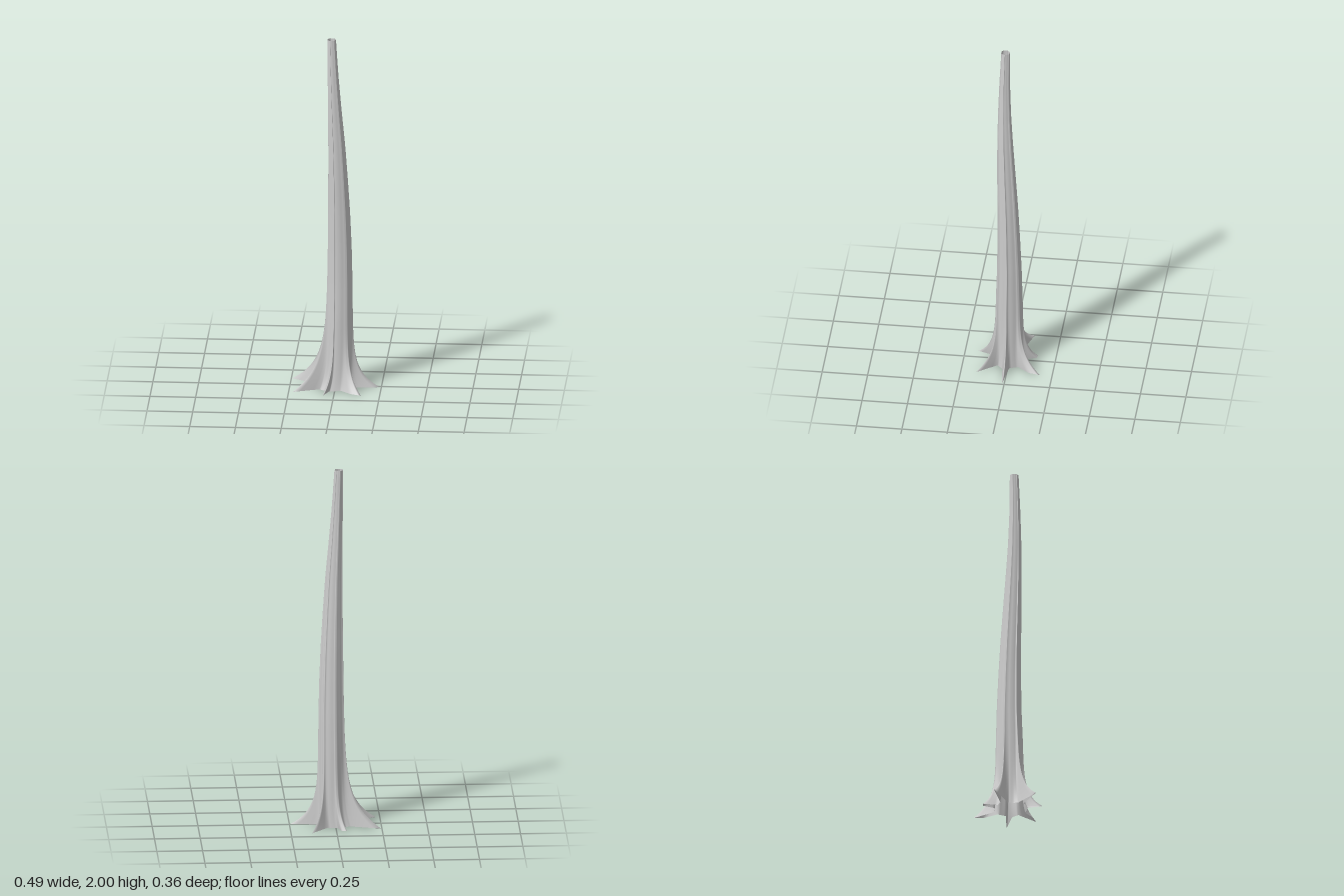
import * as THREE from 'three';

// Ground outline (x, z) with seven buttress roots
const outline = [
  [0.243, 0.012], [0.1, 0.028], [0.068, 0.058], [0.148, 0.165], [0.09, 0.14],
  [0.037, 0.092], [-0.005, 0.098], [-0.03, 0.1], [-0.06, 0.178], [-0.055, 0.093],
  [-0.085, 0.07], [-0.228, 0.124], [-0.095, 0.042], [-0.085, 0.015], [-0.088, -0.016],
  [-0.247, -0.11], [-0.085, -0.057], [-0.05, -0.066], [-0.057, -0.148], [-0.03, -0.147],
  [-0.008, -0.08], [0.045, -0.078], [0.135, -0.182], [0.122, -0.12], [0.072, -0.055],
  [0.09, -0.008],
];

// Trunk extents by height: y, xMin, xMax, zMin, zMax
const levels = [
  [0, -0.06, 0.092, -0.077, 0.082], [0.4, -0.054, 0.09, -0.075, 0.078],
  [0.6, -0.05, 0.089, -0.07, 0.071], [0.8, -0.047, 0.085, -0.061, 0.068],
  [1.0, -0.045, 0.077, -0.05, 0.068], [1.2, -0.043, 0.065, -0.036, 0.07],
  [1.4, -0.042, 0.051, -0.021, 0.07], [1.6, -0.043, 0.032, -0.008, 0.067],
  [1.8, -0.044, 0.015, -0.001, 0.06], [2.0, -0.045, 0.002, 0, 0.05],
];

function extents(y) {
  let i = 0;
  while (i < levels.length - 2 && y > levels[i + 1][0]) i++;
  const a = levels[i], b = levels[i + 1];
  const t = (y - a[0]) / (b[0] - a[0]);
  return a.map((v, k) => v + (b[k] - v) * t);
}

function trunkGeometry() {
  // Subdivide the outline
  const base = [];
  outline.forEach((p, i) => {
    const q = outline[(i + 1) % outline.length];
    for (let s = 0; s < 4; s++) {
      base.push([p[0] + (q[0] - p[0]) * s / 4, p[1] + (q[1] - p[1]) * s / 4]);
    }
  });
  const n = base.length, rows = 48;
  const positions = [], index = [];
  for (let j = 0; j <= rows; j++) {
    const y = 2 * Math.pow(j / rows, 1.8);
    const [, x0, x1, z0, z1] = extents(y);
    for (const [bx, bz] of base) {
      // Fluted oval section, flaring into the roots near the ground
      const angle = Math.atan2(bz, bx);
      const flute = Math.min(1.04, 0.94 + 0.8 * (Math.hypot(bx, bz) - 0.1));
      const x = (x0 + x1) / 2 + Math.cos(angle) * flute * (x1 - x0) / 2;
      const z = (z0 + z1) / 2 + Math.sin(angle) * flute * (z1 - z0) / 2;
      const w = Math.exp(-y / (bx < -0.07 ? 0.12 : 0.08));
      positions.push(x + (bx - x) * w, y, z + (bz - z) * w);
    }
  }
  for (let j = 0; j < rows; j++) {
    for (let i = 0; i < n; i++) {
      const a = j * n + i, c = j * n + (i + 1) % n;
      index.push(a, a + n, c, c, a + n, c + n);
    }
  }
  const geometry = new THREE.BufferGeometry();
  geometry.setAttribute('position', new THREE.Float32BufferAttribute(positions, 3));
  geometry.setIndex(index);
  geometry.computeVertexNormals();
  return geometry;
}

export function createModel() {
  const group = new THREE.Group();
  group.name = 'treeTrunk';
  const bark = new THREE.MeshStandardMaterial({ color: 0xcccccc, side: THREE.DoubleSide });
  bark.name = 'pale grey bark';
  // Hollow trunk, open at the top and at the roots
  const trunk = new THREE.Mesh(trunkGeometry(), bark);
  trunk.name = 'trunkWithRoots';
  group.add(trunk);
  return group;
}
